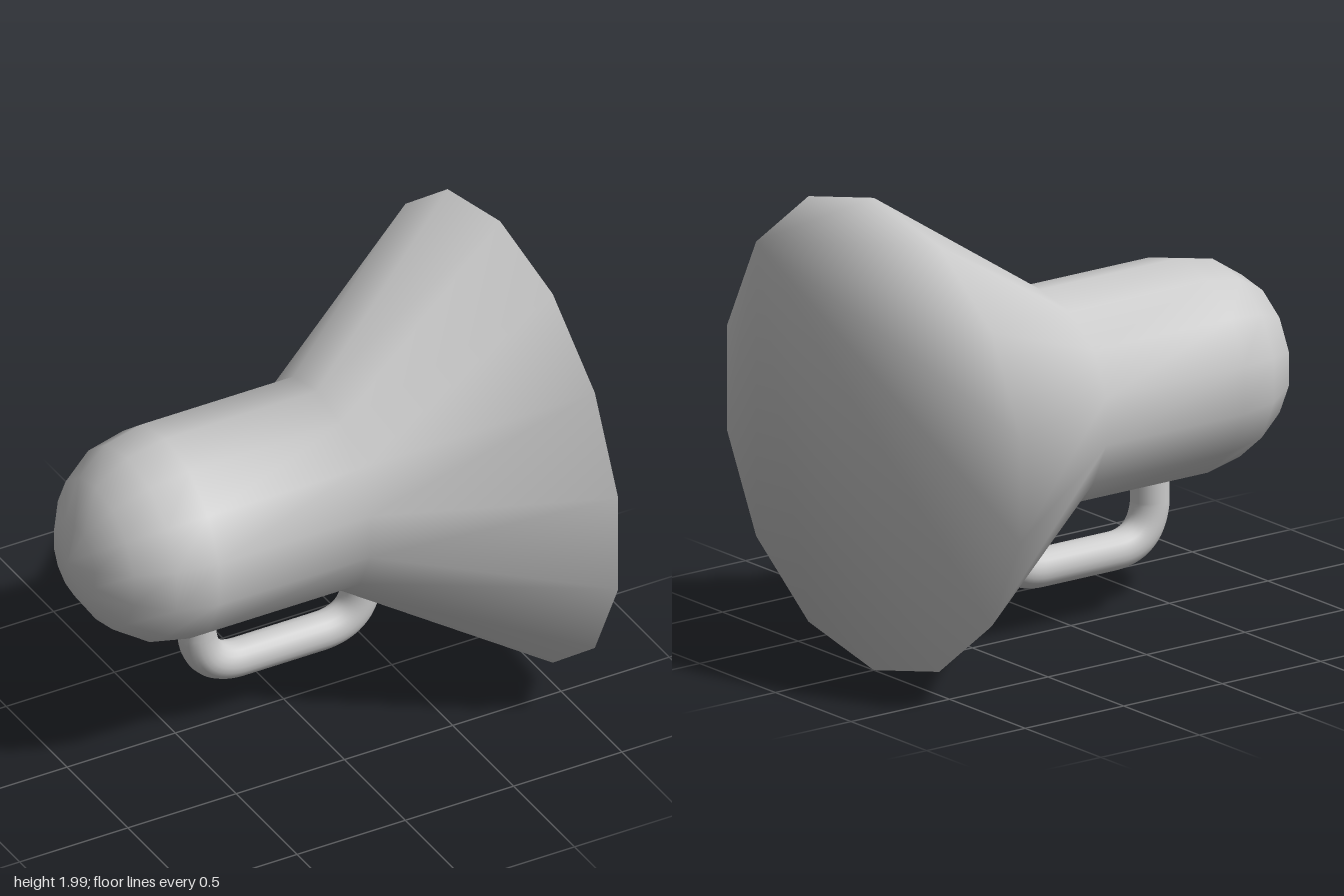
import * as THREE from 'three';

const SIDES = 14;
const AXIS_Y = 1;

// Body sections from the domed tail to the wide mouth: [x, radius]
const PROFILE = [
  [-0.967, 0.172], [-0.867, 0.32], [-0.72, 0.415],
  [-0.545, 0.45], [0.155, 0.45], [1, 0.995],
];

// Closed, smooth-shaded body: domed tail, straight barrel, flared horn, filled mouth
function bodyGeometry() {
  const positions = [-1, AXIS_Y, 0];
  const index = [];
  const at = (ring, i) => 1 + ring * SIDES + (i % SIDES);

  for (const [x, r] of PROFILE) {
    for (let i = 0; i < SIDES; i++) {
      const a = (i / SIDES) * Math.PI * 2;
      positions.push(x, AXIS_Y + r * Math.cos(a), r * Math.sin(a));
    }
  }

  const last = PROFILE.length - 1;
  for (let i = 0; i < SIDES; i++) {
    index.push(0, at(0, i + 1), at(0, i)); // tail tip
    for (let j = 0; j < last; j++) {
      const a = at(j, i), b = at(j, i + 1), c = at(j + 1, i), d = at(j + 1, i + 1);
      index.push(a, b, c, b, d, c);
    }
  }
  // flat mouth, fanned from one rim corner
  const start = 2;
  for (let k = 1; k < SIDES - 1; k++) {
    index.push(at(last, start), at(last, start + k), at(last, start + k + 1));
  }

  const geometry = new THREE.BufferGeometry();
  geometry.setAttribute('position', new THREE.Float32BufferAttribute(positions, 3));
  geometry.setIndex(index);
  geometry.computeVertexNormals();
  return geometry;
}

// U-shaped grip: two legs joined by a straight bar with rounded corners
function handleGeometry() {
  const left = -0.4, right = 0.36, low = 0.28, top = 0.6, bend = 0.17;
  const v = (x, y) => new THREE.Vector3(x, y, 0);
  const path = new THREE.CurvePath();
  path.add(new THREE.LineCurve3(v(left, top), v(left, low + bend)));
  path.add(new THREE.QuadraticBezierCurve3(v(left, low + bend), v(left + 0.02, low), v(left + bend + 0.03, low)));
  path.add(new THREE.LineCurve3(v(left + bend + 0.03, low), v(right - bend - 0.03, low)));
  path.add(new THREE.QuadraticBezierCurve3(v(right - bend - 0.03, low), v(right - 0.02, low), v(right, low + bend)));
  path.add(new THREE.LineCurve3(v(right, low + bend), v(right, top)));
  return new THREE.TubeGeometry(path, 64, 0.08, 20, false);
}

export function createModel() {
  const group = new THREE.Group();
  const material = new THREE.MeshStandardMaterial({ color: 0xcccccc, side: THREE.DoubleSide });

  const add = (name, geometry) => {
    const mesh = new THREE.Mesh(geometry, material);
    mesh.name = name;
    group.add(mesh);
  };

  add('hornBody', bodyGeometry());
  add('handle', handleGeometry());
  return group;
}
